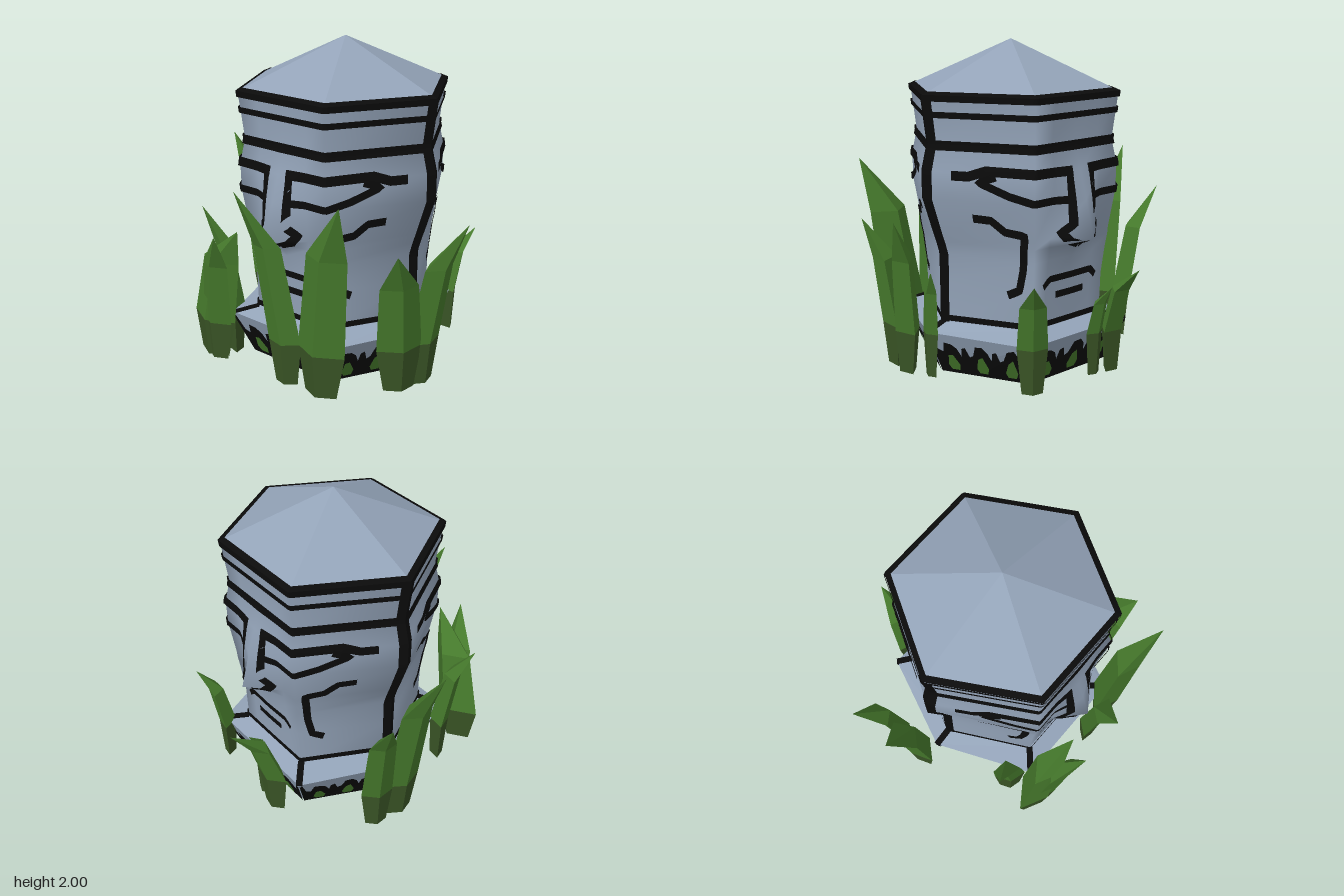
import * as THREE from 'three';

const stone = new THREE.MeshStandardMaterial({ name: 'stone', color: 0x93a3b8, side: THREE.DoubleSide });
const black = new THREE.MeshStandardMaterial({ name: 'blackPaint', color: 0x0b0b0b, side: THREE.DoubleSide });
const green = new THREE.MeshStandardMaterial({ name: 'leafGreen', color: 0x467a2c, side: THREE.DoubleSide });
const darkGreen = new THREE.MeshStandardMaterial({ name: 'stemGreen', color: 0x3a5526, side: THREE.DoubleSide });

// Head profile: y, side radius, corner x, corner z, ridge z
const ROWS = [
  [0.35, 0.54, 0.28, 0.49, 0.49],
  [0.6, 0.54, 0.28, 0.5, 0.505],
  [0.77, 0.54, 0.29, 0.52, 0.525],
  [0.85, 0.565, 0.3, 0.53, 0.57],
  [0.9, 0.585, 0.3, 0.535, 0.7],
  [1.12, 0.66, 0.33, 0.56, 0.64],
  [1.28, 0.66, 0.33, 0.565, 0.59],
  [1.43, 0.62, 0.31, 0.54, 0.54],
  [1.71, 0.66, 0.33, 0.57, 0.57],
];
const KNOTS = [0, 0.18, 0.33, 0.99];
const lerp = THREE.MathUtils.lerp;

function quarter([, r, cx, cz, nz]) {
  return [[0, nz], [0.18, cz], [cx, cz], [r, 0]];
}

// Point on the head: s runs from the nose ridge round to the side edge
function surface(s, y, sx, sz, off) {
  let i = 0;
  while (i < ROWS.length - 2 && y > ROWS[i + 1][0]) i++;
  const t = THREE.MathUtils.clamp((y - ROWS[i][0]) / (ROWS[i + 1][0] - ROWS[i][0]), 0, 1);
  const pts = quarter(ROWS[i].map((v, k) => lerp(v, ROWS[i + 1][k], t)));
  s = THREE.MathUtils.clamp(s, 0, KNOTS[3]);
  const k = s < KNOTS[1] ? 0 : s < KNOTS[2] ? 1 : 2;
  const u = (s - KNOTS[k]) / (KNOTS[k + 1] - KNOTS[k]);
  const f = 1 + off / 0.6;
  return [sx * f * lerp(pts[k][0], pts[k + 1][0], u), y, sz * f * lerp(pts[k][1], pts[k + 1][1], u)];
}

// Skin closed rings of [x, y, z] points
function loft(rings, flat) {
  const n = rings[0].length, index = [];
  for (let j = 0; j < rings.length - 1; j++) {
    for (let i = 0; i < n; i++) {
      const a = j * n + i, b = j * n + (i + 1) % n;
      index.push(a, a + n, b, b, a + n, b + n);
    }
  }
  let g = new THREE.BufferGeometry();
  g.setAttribute('position', new THREE.Float32BufferAttribute(rings.flat(2), 3));
  g.setIndex(index);
  if (flat) g = g.toNonIndexed();
  g.computeVertexNormals();
  return g;
}

// Six-sided ring with its side points on the x axis
function hexRing(r, y, cx = r / 2, cz = r * 0.866) {
  return [[r, 0], [cx, cz], [-cx, cz], [-r, 0], [-cx, -cz], [cx, -cz]].map(([x, z]) => [x, y, z]);
}

function headRing(row) {
  const q = quarter(row), y = row[0];
  const front = [...q.slice().reverse(), ...q.slice(1).map(([x, z]) => [-x, z])];
  const back = front.slice(1, -1).reverse().map(([x, z]) => [x, -z]);
  return [...front, ...back].map(([x, z]) => [x, y, z]);
}

// Painted stroke that follows the head surface
function stroke(path, width, sx, sz, off = 0.013) {
  const pts = [path[0]];
  for (let i = 1; i < path.length; i++) {
    const [a, b] = [path[i - 1], path[i]];
    const n = Math.max(1, Math.ceil(Math.hypot(b[0] - a[0], b[1] - a[1]) / 0.02));
    for (let k = 1; k <= n; k++) pts.push([lerp(a[0], b[0], k / n), lerp(a[1], b[1], k / n)]);
  }
  const pos = [], index = [];
  pts.forEach(([s, y], i) => {
    const p = pts[Math.max(0, i - 1)], q = pts[Math.min(pts.length - 1, i + 1)];
    const d = Math.hypot(q[0] - p[0], q[1] - p[1]) || 1;
    const nx = -(q[1] - p[1]) / d * width / 2, ny = (q[0] - p[0]) / d * width / 2;
    for (const e of [-1, 0, 1]) pos.push(...surface(s + e * nx, y + e * ny, sx, sz, off));
    if (i) {
      const a = (i - 1) * 3;
      for (const c of [a, a + 1]) {
        if (sx * sz > 0) index.push(c, c + 3, c + 1, c + 1, c + 3, c + 4);
        else index.push(c, c + 1, c + 3, c + 1, c + 4, c + 3);
      }
    }
  });
  const g = new THREE.BufferGeometry();
  g.setAttribute('position', new THREE.Float32BufferAttribute(pos, 3));
  g.setIndex(index);
  g.computeVertexNormals();
  return g;
}

const NECK = [[0, 0.385], [0.99, 0.385]];
const STROKES = [
  ['topBand', 0.036, [[0, 1.695], [0.99, 1.695]]],
  ['upperBand', 0.036, [[0, 1.602], [0.99, 1.602]]],
  ['lowerBand', 0.055, [[0, 1.428], [0.99, 1.428]]],
  ['neckBand', 0.036, NECK],
  ['sideLine', 0.055, [[0.963, 0.36], [0.963, 1.7]]],
  ['eyebrow', 0.055, [[0.06, 1.29], [0.62, 1.3], [0.72, 1.265], [0.82, 1.265]]],
  ['noseLine', 0.045, [[0.085, 1.3], [0.085, 0.99], [0.14, 0.94], [0.1, 0.89], [0, 0.85]]],
  ['eye', 0.045, [[0.09, 1.13], [0.34, 1.13], [0.48, 1.165], [0.66, 1.235], [0.56, 1.27]]],
  ['cheekLine', 0.05, [[0.71, 1.02], [0.6, 1.015], [0.52, 0.95], [0.4, 0.935], [0.41, 0.72], [0.43, 0.6], [0.51, 0.565]]],
  ['upperLip', 0.042, [[0, 0.655], [0.16, 0.655], [0.22, 0.61]]],
  ['lowerLip', 0.042, [[0, 0.55], [0.11, 0.55]]],
];

// Blades: base x, z; tip x, z, y; half width; bottom y; facing angle if not outward
const BLADES = [
  [-0.68, -0.26, -0.91, -0.36, 1.03, 0.1, 0.05],
  [-0.69, -0.08, -0.95, -0.02, 1.25, 0.13, 0.05],
  [-0.44, 0.5, -0.63, 0.57, 0.94, 0.1, 0],
  [-0.41, 0.7, -0.14, 0.74, 0.93, 0.175, 0.07, 90],
  [-0.35, 0.73, -0.19, 0.88, 0.92, 0.12, 0.07, 90],
  [0.18, 0.68, 0.02, 0.91, 1.25, 0.105, 0.05],
  [0.41, 0.64, 0.65, 0.76, 1.25, 0.165, 0.04, 85],
  [0.72, 0.31, 0.83, 0.48, 0.94, 0.14, 0.05, 30],
  [0.76, 0.15, 0.95, -0.02, 1.02, 0.13, 0.05],
  [0.69, 0.0, 0.78, -0.13, 0.72, 0.07, 0.04],
  [0.43, -0.6, 0.54, -0.73, 0.72, 0.09, 0.04],
  [-0.17, -0.66, -0.11, -0.91, 0.73, 0.11, 0.05],
  [-0.03, -0.64, -0.06, -0.75, 0.6, 0.07, 0.05],
];

// Thick leaf with a dark tapering stem: returns [stem, leaf]
function blade([bx, bz, tx, tz, top, w, y0, deg]) {
  const angle = deg === undefined ? Math.atan2(bz, bx) : THREE.MathUtils.degToRad(deg);
  const nx = Math.cos(angle), nz = Math.sin(angle);
  const ring = (t, y, k) => {
    const x = lerp(bx, tx, t), z = lerp(bz, tz, t);
    const o = w * 0.5 * k, d = w * 0.7 * k, e = w * k;
    return [[nx * o, nz * o], [-nz * e, nx * e], [-nx * d, -nz * d], [nz * e, -nx * e]]
      .map(([dx, dz]) => [x + dx, y, z + dz]);
  };
  const bend = ring(0.03, 0.31, 1);
  return [
    loft([ring(0, y0, 0), ring(0, y0, 0.68), bend], true),
    loft([bend, ring(0.36, lerp(0.31, top, 0.64), 0.85), ring(1, top, 0)], true),
  ];
}

const LEDGE_TOP = hexRing(0.54, 0.36, 0.28, 0.49);
const BASE_TOP = hexRing(0.66, 0.315, 0.4, 0.6);
const BASE_BOTTOM = hexRing(0.55, 0.05, 0.31, 0.5);

// Place a shape drawn in a unit square onto one side of the base
function onBaseSide(shape, k, off) {
  const g = new THREE.ShapeGeometry(shape), p = g.attributes.position, m = (k + 1) % 6;
  const mid = Math.atan2(BASE_TOP[k][2] + BASE_TOP[m][2], BASE_TOP[k][0] + BASE_TOP[m][0]);
  for (let i = 0; i < p.count; i++) {
    const u = 1 - p.getX(i), v = p.getY(i);
    const at = (c) => lerp(lerp(BASE_BOTTOM[k][c], BASE_BOTTOM[m][c], u), lerp(BASE_TOP[k][c], BASE_TOP[m][c], u), v);
    p.setXYZ(i, at(0) + off * Math.cos(mid), at(1), at(2) + off * Math.sin(mid));
  }
  g.computeVertexNormals();
  return g;
}

export function createModel() {
  const model = new THREE.Group();
  model.name = 'stoneHeadInGrass';
  const totem = new THREE.Group();
  totem.name = 'stoneHead';
  totem.position.x = 0.05;
  model.add(totem);
  const add = (parent, name, geometry, material) => {
    const m = new THREE.Mesh(geometry, material);
    m.name = name;
    parent.add(m);
    return m;
  };

  // Stone: head, pointed roof, sloping ledge and open base
  add(totem, 'head', loft(ROWS.map(headRing), false), stone);
  add(totem, 'roof', loft([hexRing(0.66, 1.71), hexRing(0, 2)], true), stone);
  add(totem, 'roofEdge', loft([hexRing(0.664, 1.69), hexRing(0.667, 1.713), hexRing(0.63, 1.729)], true), black);
  add(totem, 'ledge', loft([BASE_TOP, LEDGE_TOP], true), stone);
  add(totem, 'base', loft([BASE_BOTTOM, BASE_TOP], true), stone);

  // Painted face, repeated on the back
  for (const sz of [1, -1]) for (const sx of [1, -1]) {
    for (const [name, width, path] of STROKES) add(totem, name, stroke(path, width, sx, sz), black);
    add(totem, 'innerNeckBand', stroke(NECK, 0.036, sx, sz, -0.012), black);
  }

  // Black lines along the ledge corners
  BASE_TOP.forEach((p, i) => {
    const a = new THREE.Vector3(...p), b = new THREE.Vector3(...LEDGE_TOP[i]), d = b.clone().sub(a);
    const line = add(totem, 'ledgeCornerLine', new THREE.BoxGeometry(0.04, 0.009, d.length()), black);
    line.position.copy(a).add(b).multiplyScalar(0.5);
    line.rotation.order = 'YXZ';
    line.rotation.set(-Math.asin(d.y / d.length()), Math.atan2(d.x, d.z), 0);
  });

  // Painted undergrowth on each base side, seen outside and inside
  const outline = (pts) => new THREE.Shape(pts.map(([x, y]) => new THREE.Vector2(x, y)));
  const centres = [0.82, 0.5, 0.18];
  const humps = [[0, 0], [1, 0], [1, 0.95], [0.97, 0.95], [0.95, 0.6]];
  centres.forEach((x, i) => {
    humps.push([x + 0.08, 0.68], [x + 0.03, 0.86 - i * 0.04], [x - 0.04, 0.8], [x - 0.08, 0.55]);
    if (i < 2) humps.push([x - 0.12, 0.5], [x - 0.15, 0.74], [x - 0.19, 0.7], [x - 0.21, 0.48]);
  });
  humps.push([0.05, 0.6], [0.03, 0.95], [0, 0.95]);
  const leaves = centres.map((x, i) => outline(
    [[-0.04, 0.1], [0.05, 0.1], [0.07, 0.25], [0.02, 0.6 - i * 0.05], [-0.03, 0.48], [-0.065, 0.22]]
      .map(([dx, y]) => [x + dx, y])));
  for (let k = 0; k < 6; k++) {
    for (const f of [1, -1]) {
      add(totem, 'undergrowth', onBaseSide(outline(humps), k, f * 0.009), black);
      for (const leaf of leaves) add(totem, 'paintedLeaf', onBaseSide(leaf, k, f * 0.014), green);
    }
  }

  // Grass around the stone
  const grass = new THREE.Group();
  grass.name = 'grass';
  model.add(grass);
  for (const b of BLADES) {
    const [stem, leaf] = blade(b);
    add(grass, 'grassStem', stem, darkGreen);
    add(grass, 'grassBlade', leaf, green);
  }
  return model;
}
